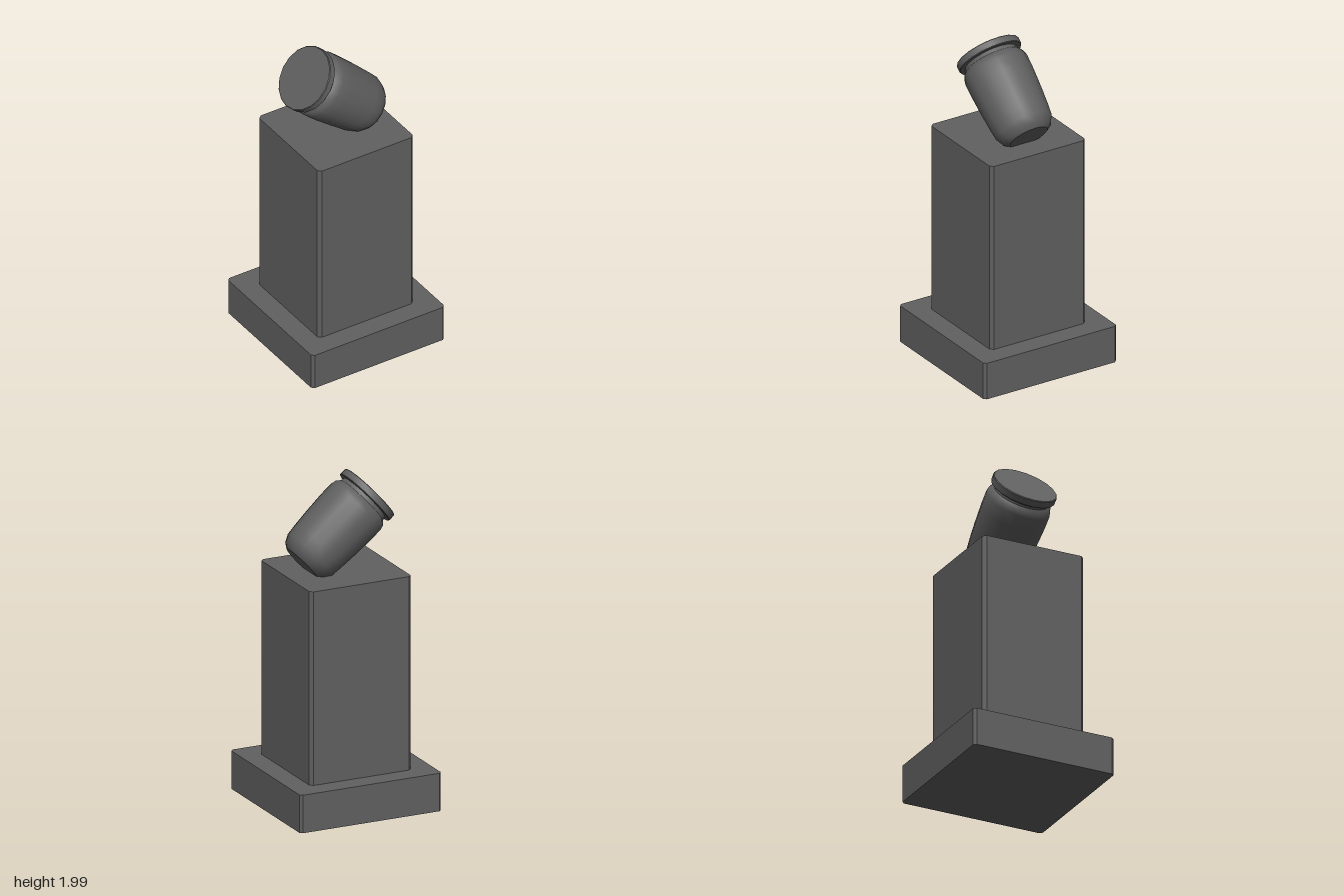
import * as THREE from 'three';
import { toCreasedNormals } from 'three/addons/utils/BufferGeometryUtils.js';

const grey = new THREE.MeshStandardMaterial({ color: 0x606060 });
grey.name = 'grey stone';

function part(name, geometry) {
  const mesh = new THREE.Mesh(geometry, grey);
  mesh.name = name;
  return mesh;
}

// Square block with cut vertical corners, from y0 to y1
function block(name, half, cut, y0, y1) {
  const a = half, b = half - cut;
  const corners = [[a, -b], [a, b], [b, a], [-b, a], [-a, b], [-a, -b], [-b, -a], [b, -a]];
  const shape = new THREE.Shape(corners.map(([x, y]) => new THREE.Vector2(x, y)));
  const geometry = new THREE.ExtrudeGeometry(shape, { depth: y1 - y0, bevelEnabled: false });
  geometry.rotateX(-Math.PI / 2).translate(0, y0, 0);
  return part(name, geometry);
}

// Turned form from [radius, y] pairs, bottom to top
function turned(name, profile, crease) {
  const points = profile.map(([r, y]) => new THREE.Vector2(r, y));
  const geometry = new THREE.LatheGeometry(points, 18, Math.PI / 2);
  return part(name, toCreasedNormals(geometry, crease));
}

export function createModel() {
  const model = new THREE.Group();
  model.name = 'jarOnPedestal';

  // Pedestal
  model.add(block('pedestalBase', 0.457, 0.016, 0, 0.232));
  model.add(block('pedestalColumn', 0.328, 0.02, 0.232, 1.415));

  // Tilted jar, its origin at the middle of the lid's top
  const jar = new THREE.Group();
  jar.name = 'jar';
  jar.add(turned('jarBody', [
    [0, -0.575], [0.12, -0.575], [0.155, -0.55], [0.177, -0.505], [0.184, -0.44],
    [0.192, -0.33], [0.198, -0.2], [0.198, -0.12], [0.19, -0.09], [0.17, -0.07],
    [0.165, -0.04], [0, -0.04],
  ], 0.6));
  jar.add(turned('jarLid', [
    [0, -0.046], [0.193, -0.046], [0.197, -0.042], [0.197, -0.004], [0.193, 0], [0, 0],
  ], 0.5));
  jar.position.set(-0.219, 1.846, 0);
  jar.rotation.z = THREE.MathUtils.degToRad(50);
  model.add(jar);

  return model;
}
